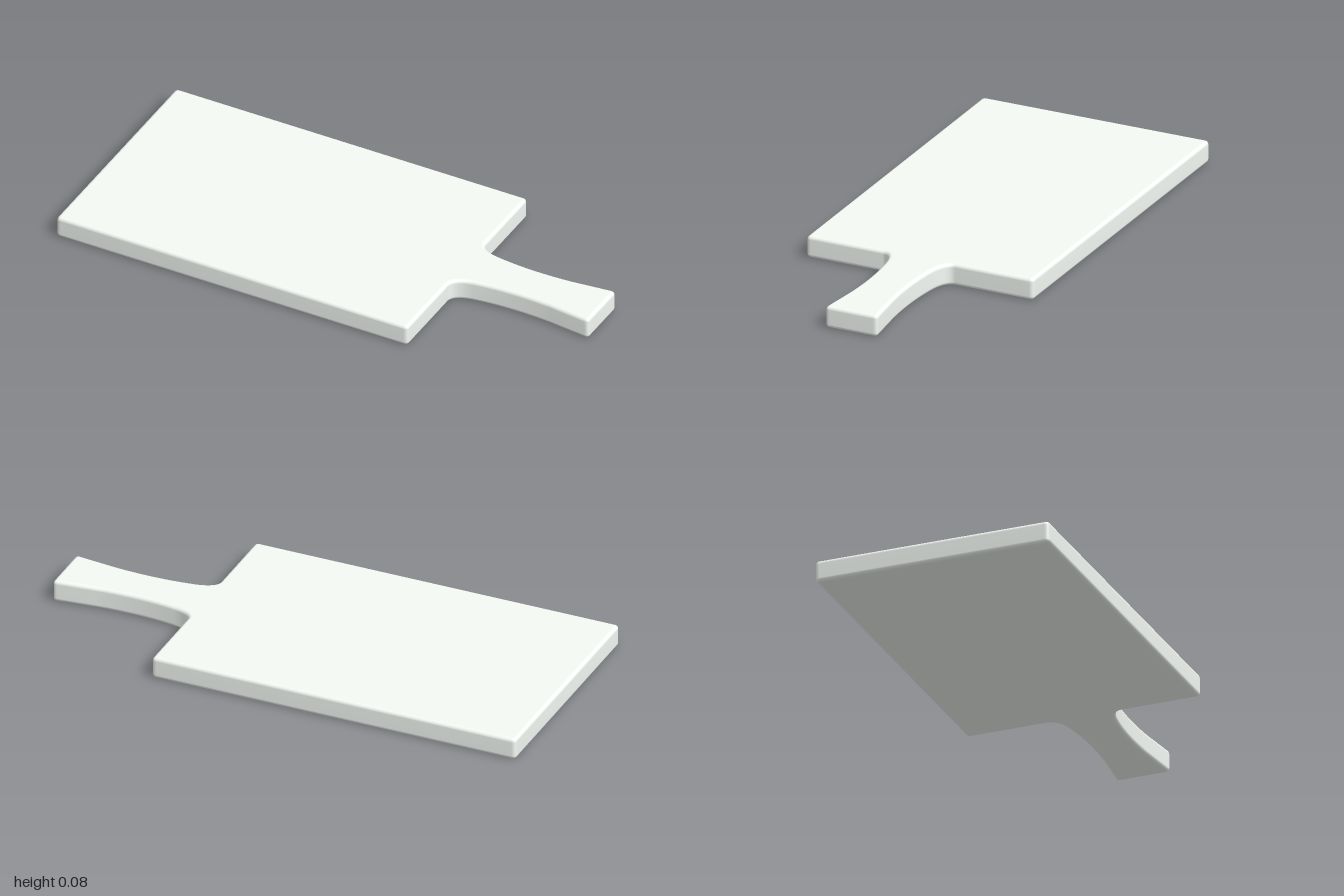
import * as THREE from 'three';
import { mergeVertices } from 'three/addons/utils/BufferGeometryUtils.js';

const HEIGHT = 0.084, BEVEL = 0.014, CORNER = 0.018;
const HALF_WIDTH = 0.458, SHOULDER = 0.445, HANDLE_Z = 0.003;

// Half of the outline, from the far end round to the tip of the handle
function halfOutline(side) {
  const at = (x, w) => [x, side * w];
  const grip = (x, w) => [x, side * w - HANDLE_Z]; // shape y becomes -z
  const p = new THREE.Path();
  p.moveTo(...at(-1, 0));
  p.lineTo(...at(-1, HALF_WIDTH - CORNER));
  p.quadraticCurveTo(...at(-1, HALF_WIDTH), ...at(-1 + CORNER, HALF_WIDTH));
  p.lineTo(...at(SHOULDER - CORNER, HALF_WIDTH));
  p.quadraticCurveTo(...at(SHOULDER, HALF_WIDTH), ...at(SHOULDER, HALF_WIDTH - CORNER));
  // shoulder fillet, narrow neck and flared end
  p.lineTo(...grip(SHOULDER, 0.147));
  p.bezierCurveTo(...grip(SHOULDER, 0.118), ...grip(0.478, 0.102), ...grip(0.52, 0.095));
  p.bezierCurveTo(...grip(0.63, 0.078), ...grip(0.74, 0.08), ...grip(0.83, 0.087));
  p.lineTo(...grip(1 - CORNER, 0.104));
  p.quadraticCurveTo(...grip(1, 0.106), ...grip(1, 0.105 - CORNER));
  return p.getPoints(12);
}

export function createModel() {
  const group = new THREE.Group();
  group.name = 'cuttingBoard';

  // Board and handle in one rounded slab
  const outline = [...halfOutline(-1), ...halfOutline(1).slice(1).reverse()];
  let geometry = new THREE.ExtrudeGeometry(new THREE.Shape(outline), {
    depth: HEIGHT - 2 * BEVEL,
    bevelThickness: BEVEL,
    bevelSize: BEVEL,
    bevelOffset: -BEVEL,
    bevelSegments: 6,
  });
  geometry.rotateX(-Math.PI / 2);
  geometry.translate(0, BEVEL, 0);

  // Every edge is rounded, so weld the surface and shade it smooth throughout
  geometry.deleteAttribute('uv');
  geometry.deleteAttribute('normal');
  geometry = mergeVertices(geometry, 1e-5);
  geometry.computeVertexNormals();

  // Keep the flat faces evenly shaded up to the rounded edge
  const { position, normal } = geometry.attributes;
  for (let i = 0; i < position.count; i++) {
    const y = position.getY(i);
    if (y < 1e-4) normal.setXYZ(i, 0, -1, 0);
    else if (y > HEIGHT - 1e-4) normal.setXYZ(i, 0, 1, 0);
  }

  const board = new THREE.Mesh(geometry, new THREE.MeshStandardMaterial({ color: 0xf5faf5 }));
  board.name = 'boardWithHandle';
  group.add(board);
  return group;
}
